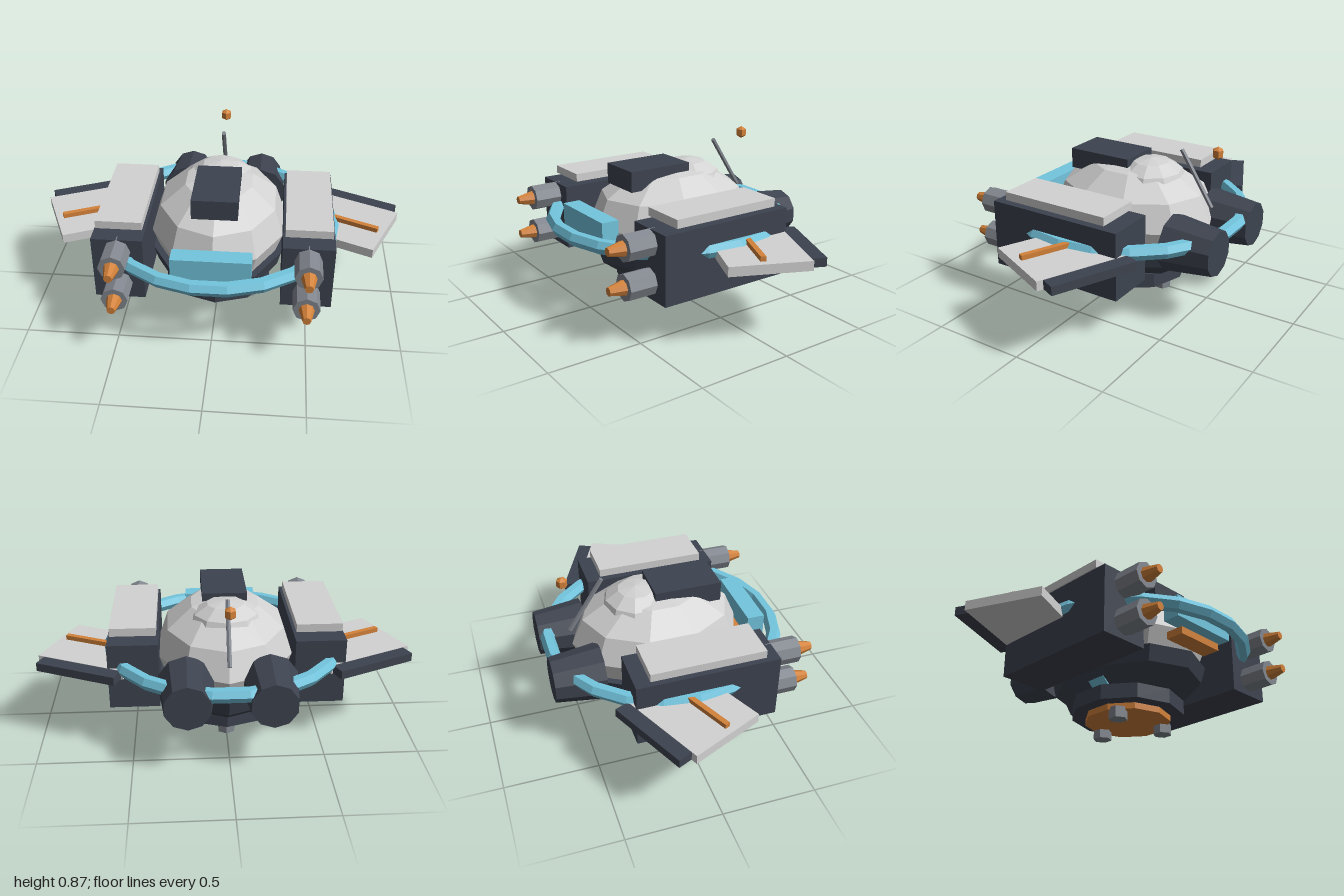
import * as THREE from 'three';

const mat = (name, color) => {
  const m = new THREE.MeshStandardMaterial({ color, flatShading: true });
  m.name = name;
  return m;
};

export function createModel() {
  const white = mat('hullWhite', 0xd2d2d2);
  const dark = mat('armorDark', 0x3d434f);
  const blue = mat('glowBlue', 0x73c5de);
  const orange = mat('accentOrange', 0xd3823a);
  const metal = mat('metalGrey', 0x82878f);

  const ship = new THREE.Group();
  ship.name = 'ship';

  const add = (name, geo, material, x, y, z, parent = ship) => {
    const mesh = new THREE.Mesh(geo, material);
    mesh.name = name;
    mesh.position.set(x, y, z);
    parent.add(mesh);
    return mesh;
  };
  const box = (w, h, d) => new THREE.BoxGeometry(w, h, d);
  // Cylinder lying along z: rFront at +z, rBack at -z
  const barrel = (rFront, rBack, length, sides) =>
    new THREE.CylinderGeometry(rFront, rBack, length, sides).rotateX(Math.PI / 2);
  // Low-poly ellipsoid with a corner facing +z
  const ellipsoid = (rx, ry, rz, sides, rows) =>
    new THREE.SphereGeometry(1, sides, rows).rotateY(Math.PI / 2).scale(rx, ry, rz);

  // Hull: faceted body, cabin bubble and dark lower bowl
  const cz = -0.03;
  add('hull', ellipsoid(0.375, 0.29, 0.47, 10, 6), white, 0, 0.44, cz);
  add('cabinBubble', ellipsoid(0.2, 0.125, 0.19, 10, 6), white, 0, 0.62, -0.14);
  const bowlProfile = [[0, 0.16], [0.263, 0.16], [0.35, 0.24], [0.371, 0.325], [0, 0.325]]
    .map(([r, y]) => new THREE.Vector2(r, y));
  add('lowerBowl', new THREE.LatheGeometry(bowlProfile, 10).scale(1, 1, 1.26), dark, 0, 0, cz);

  // Base ring, orange underside and three feet
  add('baseRing', new THREE.CylinderGeometry(0.305, 0.305, 0.08, 10), dark, 0, 0.12, -0.025);
  add('undersideDisc', new THREE.CylinderGeometry(0.232, 0.232, 0.04, 10), orange, 0, 0.067, -0.025);
  for (let i = 0; i < 3; i++) {
    const a = Math.PI / 3 + (i * 2 * Math.PI) / 3;
    add('foot', new THREE.CylinderGeometry(0.05, 0.05, 0.06, 6), metal,
      0.195 * Math.sin(a), 0.03, -0.025 + 0.195 * Math.cos(a));
  }

  // Ring around the ship
  add('energyRing', new THREE.TorusGeometry(0.625, 0.039, 6, 22).rotateX(Math.PI / 2), blue, 0, 0.446, 0);

  // Front window, grille and roof block
  add('frontWindow', box(0.41, 0.12, 0.095), blue, 0, 0.482, 0.482);
  add('frontGrille', box(0.29, 0.04, 0.1), orange, 0, 0.375, 0.45);
  add('roofBlock', box(0.24, 0.11, 0.365), dark, 0, 0.695, 0.118);

  // Tilted antenna with a floating beacon
  const mast = add('antenna', new THREE.CylinderGeometry(0.013, 0.013, 0.34, 6), metal, 0, 0.678, -0.413);
  mast.rotation.x = Math.atan2(0.18, 0.28);
  add('beacon', ellipsoid(0.033, 0.035, 0.033, 6, 3), orange, 0, 0.838, -0.528);

  // Everything that repeats on both sides
  for (const s of [1, -1]) {
    const side = new THREE.Group();
    side.name = s > 0 ? 'leftSide' : 'rightSide';
    ship.add(side);

    // Weapon pod with armor plate
    add('pod', box(0.265, 0.36, 0.755), dark, s * 0.487, 0.399, 0.057, side);
    add('podPlate', box(0.242, 0.044, 0.605), white, s * 0.487, 0.618, 0.057, side);

    // Cannons
    for (const y of [0.51, 0.312]) {
      add('cannonBarrel', barrel(0.07, 0.07, 0.18, 8), metal, s * 0.487, y, 0.493, side);
      add('cannonTip', barrel(0.022, 0.042, 0.09, 8), orange, s * 0.487, y, 0.622, side);
    }

    // Rear engine
    add('engine', barrel(0.152, 0.12, 0.265, 10), dark, s * 0.213, 0.398, -0.528, side);

    // Forward-swept wing with dark rear flap and orange stripe
    const turn = -s * THREE.MathUtils.degToRad(24);
    add('wing', box(0.5, 0.05, 0.414), white, s * 0.685, 0.425, -0.06, side).rotation.y = turn;
    add('wingFlap', box(0.455, 0.046, 0.08), dark, s * 0.774, 0.425, -0.288, side).rotation.y = turn;
    add('wingStripe', box(0.27, 0.026, 0.028), orange, s * 0.745, 0.462, -0.002, side).rotation.y = turn;

    // Small light panel on the bowl
    add('bowlPanel', box(0.008, 0.06, 0.11), blue, s * 0.272, 0.183, 0.035, side).rotation.z = -s * 0.77;
  }
  return ship;
}
